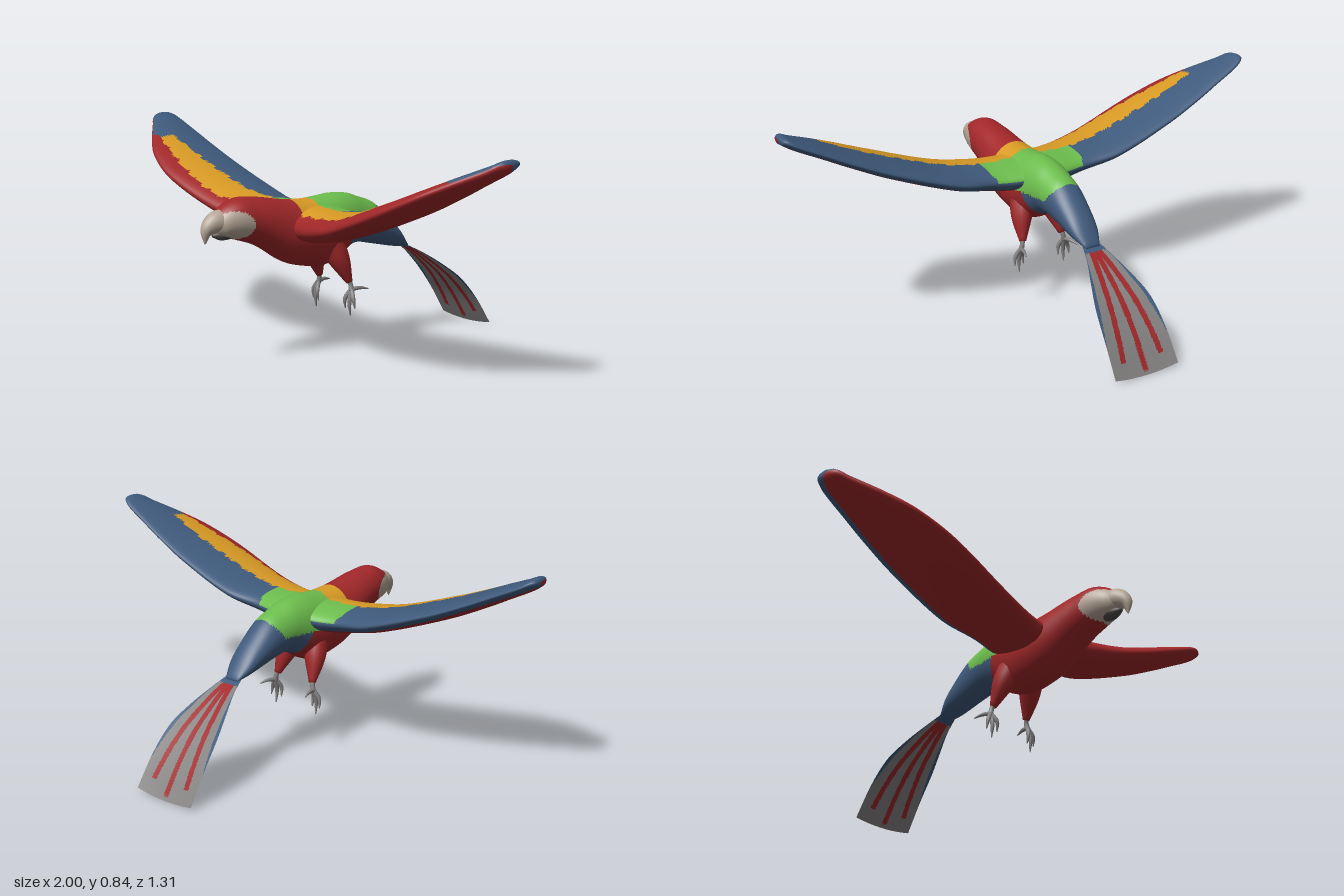
import * as THREE from 'three';

const mat = (name, color) => {
  const m = new THREE.MeshStandardMaterial({ color, side: THREE.DoubleSide });
  m.name = name;
  return m;
};
const RED = 0, BLUE = 1, GREEN = 2, YELLOW = 3, CREAM = 4, GREY = 5, DARK = 6;

// Smooth interpolation of rows [key, v1, v2, ...] with ascending keys
function sample(rows, t) {
  const n = rows.length;
  let i = 0;
  while (i < n - 2 && t > rows[i + 1][0]) i++;
  const a = rows[i], b = rows[i + 1], h = b[0] - a[0];
  const s = THREE.MathUtils.clamp((t - a[0]) / h, 0, 1);
  const slope = (k, c) => {
    const p = rows[Math.max(k - 1, 0)], q = rows[Math.min(k + 1, n - 1)];
    return (q[c] - p[c]) / (q[0] - p[0]);
  };
  return a.slice(1).map((v, k) => {
    const c = k + 1, s2 = s * s, s3 = s2 * s;
    return (2 * s3 - 3 * s2 + 1) * v + (3 * s2 - 2 * s3) * b[c]
      + h * ((s3 - 2 * s2 + s) * slope(i, c) + (s3 - s2) * slope(i + 1, c));
  });
}

// Skin through rings of points; colourOf(centre of face) picks the material
function skin(name, rings, materials, colourOf, closed = true) {
  const m = rings[0].length, pts = rings.flat(), faces = materials.map(() => []);
  const add = (a, b, c) => {
    const p = new THREE.Vector3().add(pts[a]).add(pts[b]).add(pts[c]).divideScalar(3);
    faces[colourOf(p)].push(a, b, c);
  };
  for (let i = 0; i < rings.length - 1; i++) {
    for (let j = 0; j < (closed ? m : m - 1); j++) {
      const k = (j + 1) % m, a = i * m + j, b = i * m + k;
      add(a, b, a + m);
      add(b, b + m, a + m);
    }
  }
  if (closed) {
    for (const [row, flip] of [[0, true], [rings.length - 1, false]]) {
      const c = pts.length;
      pts.push(rings[row].reduce((s, p) => s.add(p), new THREE.Vector3()).divideScalar(m));
      for (let j = 0; j < m; j++) {
        const a = row * m + j, b = row * m + (j + 1) % m;
        flip ? add(b, a, c) : add(a, b, c);
      }
    }
  }
  const geo = new THREE.BufferGeometry().setFromPoints(pts);
  geo.setIndex(faces.flat());
  let start = 0;
  faces.forEach((f, i) => {
    if (f.length) geo.addGroup(start, f.length, i);
    start += f.length;
  });
  geo.computeVertexNormals();
  const mesh = new THREE.Mesh(geo, materials);
  mesh.name = name;
  return mesh;
}

// Tapered tube: points [x, y, z, radius], widened sideways by wide
function limb(name, points, material, wide = 1, steps = 12, sides = 12) {
  const curve = new THREE.CatmullRomCurve3(points.map(p => new THREE.Vector3(p[0], p[1], p[2])));
  const radii = points.map((p, i) => [i / (points.length - 1), p[3]]);
  const rings = [];
  for (let i = 0; i <= steps; i++) {
    const t = i / steps, c = curve.getPoint(t), T = curve.getTangent(t);
    const N = new THREE.Vector3(1, 0, 0).addScaledVector(T, -T.x).normalize();
    const B = new THREE.Vector3().crossVectors(T, N), r = Math.max(sample(radii, t)[0], 0.001);
    rings.push(Array.from({ length: sides }, (_, j) => {
      const a = j / sides * Math.PI * 2;
      return c.clone().addScaledVector(N, Math.cos(a) * r * wide).addScaledVector(B, Math.sin(a) * r);
    }));
  }
  return skin(name, rings, [material], () => 0);
}

// Wing: |x|, leading z, trailing z, middle y, thickness
const WING = [
  [0, 0.32, 0.02, 0.52, 0.13], [0.1, 0.325, 0.045, 0.512, 0.13], [0.2, 0.345, 0.06, 0.519, 0.115],
  [0.35, 0.375, 0.042, 0.548, 0.098], [0.6, 0.395, 0.055, 0.635, 0.085], [0.75, 0.365, 0.07, 0.70, 0.072],
  [0.85, 0.31, 0.083, 0.748, 0.062], [0.95, 0.24, 0.097, 0.796, 0.052], [0.985, 0.215, 0.11, 0.815, 0.045],
  [1, 0.19, 0.125, 0.819, 0.03],
];
// Body: z, top y, bottom y, half width
const BODY = [
  [-0.297, 0.372, 0.353, 0.03], [-0.25, 0.435, 0.36, 0.052], [-0.2, 0.486, 0.37, 0.062],
  [-0.12, 0.553, 0.388, 0.071], [-0.05, 0.58, 0.402, 0.078], [0, 0.597, 0.395, 0.085],
  [0.07, 0.604, 0.355, 0.098], [0.13, 0.6, 0.336, 0.105], [0.2, 0.596, 0.342, 0.108],
  [0.3, 0.603, 0.37, 0.103], [0.4, 0.621, 0.432, 0.088], [0.45, 0.627, 0.457, 0.081],
  [0.5, 0.631, 0.474, 0.075], [0.54, 0.621, 0.486, 0.066], [0.58, 0.598, 0.496, 0.05], [0.605, 0.572, 0.513, 0.03],
];
// Yellow band on the back: |x|, rear z, front z
const BAND = [[0, 0.18, 0.27], [0.2, 0.185, 0.3], [0.4, 0.207, 0.34], [0.6, 0.215, 0.33], [0.82, 0.23, 0.29]];
// Tail: distance back from centre, y, half width
const TAIL = [
  [0.28, 0.368, 0.035], [0.35, 0.328, 0.058], [0.42, 0.278, 0.088],
  [0.5, 0.21, 0.118], [0.58, 0.115, 0.13], [0.655, 0, 0.135],
];

// Plumage on upper surfaces
function upperColour(p) {
  const x = Math.abs(p.x), wobble = 0.005 * Math.sin(x * 75) + 0.003 * Math.sin(x * 133);
  const [rear, front] = sample(BAND, Math.min(x, 0.82));
  if (x < 0.815 && p.z > rear + wobble && p.z < front + wobble) return YELLOW;
  if (p.z >= front + wobble && x < 0.86) return RED;
  if (x < 0.2 - 0.3 * Math.max(0, 0.1 - p.z) && p.z > -0.13 && p.z < 0.2) return GREEN;
  return BLUE;
}

function wingColour(p) {
  const [, trail, mid, thick] = sample(WING, Math.abs(p.x));
  if (p.y > mid + thick * 0.1) return upperColour(p);
  return p.z < trail + 0.035 ? BLUE : RED;
}

function bodyColour(p) {
  const face = ((p.z - 0.55) / 0.07) ** 2 + ((p.y - 0.536) / 0.055) ** 2;
  if (p.z > 0.585 || (p.z > 0.46 && face < 1)) return CREAM;
  if (p.z > 0.27) return RED;
  const edge = 0.48 + 0.35 * Math.max(0, -0.08 - p.z) * 4;
  if (p.y > edge) return upperColour(p);
  return p.z > 0.04 - (0.44 - p.y) * 0.4 ? RED : BLUE;
}

function tailColour(p) {
  const x = Math.abs(p.x), d = -p.z;
  if (d < 0.315 || x > 0.04 + 0.31 * (d - 0.3)) return BLUE;
  const stripe = 0.02 + 0.207 * (d - 0.33);
  if (d < 0.645 && x < 0.011) return RED;
  if (d < 0.625 && Math.abs(x - stripe) < 0.011) return RED;
  return GREY;
}

export function createModel() {
  const bird = new THREE.Group();
  bird.name = 'parrot';
  const M = [
    mat('red feathers', 0xa02729), mat('blue feathers', 0x3f5a7c), mat('green feathers', 0x6cbc4c),
    mat('yellow feathers', 0xd89a24), mat('cream face', 0xb5a596), mat('grey', 0x848181), mat('dark beak', 0x4e4a48),
  ];
  const TAU = Math.PI * 2;

  // Head and body
  const bodyRings = [];
  for (let i = 0; i <= 100; i++) {
    const z = -0.297 + 0.902 * i / 100, [top, low, w] = sample(BODY, z);
    bodyRings.push(Array.from({ length: 64 }, (_, j) => {
      const a = j / 64 * TAU;
      return new THREE.Vector3(w * Math.cos(a), (top + low) / 2 + (top - low) / 2 * Math.sin(a), z);
    }));
  }
  bird.add(skin('body', bodyRings, M, bodyColour));

  // Both wings in one span, thicker towards the leading edge
  const wingRings = [];
  for (let i = 0; i <= 180; i++) {
    const x = -1 + i / 90, [lead, trail, mid, thick] = sample(WING, Math.abs(x));
    wingRings.push(Array.from({ length: 72 }, (_, j) => {
      const a = j / 72 * TAU, c = Math.cos(a), s = Math.sin(a);
      const y = mid + thick / 2 * (c * (0.92 + 0.12 * s) - 0.12 * s);
      return new THREE.Vector3(x, y, (lead + trail) / 2 + (lead - trail) / 2 * s);
    }));
  }
  bird.add(skin('wings', wingRings, M, wingColour));

  // Thin fanned tail, striped on both faces
  const tailRows = [];
  for (let i = 0; i <= 60; i++) {
    const d = 0.28 + 0.375 * i / 60, [y, w] = sample(TAIL, d);
    tailRows.push(Array.from({ length: 61 }, (_, j) => {
      const u = j / 30 - 1;
      return new THREE.Vector3(u * w, y + 0.012 * u * u * i / 60, -d);
    }));
  }
  bird.add(skin('tail', tailRows.reverse(), M, tailColour, false));

  // Hooked beak
  bird.add(limb('upperBeak', [
    [0, 0.55, 0.565, 0.048], [0, 0.548, 0.605, 0.04], [0, 0.525, 0.637, 0.024], [0, 0.478, 0.645, 0.002],
  ], M[CREAM], 0.95, 16, 20));
  bird.add(limb('lowerBeak', [
    [0, 0.515, 0.54, 0.03], [0, 0.506, 0.58, 0.022], [0, 0.505, 0.612, 0.006],
  ], M[DARK], 1.2, 10, 16));

  // Legs with three hanging toes and one pointing back
  for (const s of [1, -1]) {
    const leg = new THREE.Group();
    leg.name = s > 0 ? 'leftLeg' : 'rightLeg';
    leg.add(limb('thigh', [
      [s * 0.05, 0.43, 0.12, 0.05], [s * 0.072, 0.36, 0.09, 0.04], [s * 0.088, 0.275, 0.056, 0.013],
    ], M[RED]));
    leg.add(limb('shank', [
      [s * 0.086, 0.295, 0.062, 0.01], [s * 0.092, 0.265, 0.053, 0.009], [s * 0.097, 0.242, 0.054, 0.011],
    ], M[GREY]));
    for (const [dx, y, z] of [[-0.018, 0.175, 0.068], [0.004, 0.148, 0.062], [0.026, 0.178, 0.058]]) {
      leg.add(limb('toe', [
        [s * 0.097, 0.248, 0.053, 0.009], [s * (0.097 + dx * 0.8), (y + 0.25) / 2, z + 0.004, 0.008],
        [s * (0.097 + dx), y, z, 0.002],
      ], M[GREY], 1, 8, 8));
    }
    leg.add(limb('backToe', [
      [s * 0.097, 0.246, 0.055, 0.009], [s * 0.105, 0.25, 0.02, 0.007], [s * 0.115, 0.243, -0.016, 0.002],
    ], M[GREY], 1, 8, 8));
    bird.add(leg);
  }
  return bird;
}
